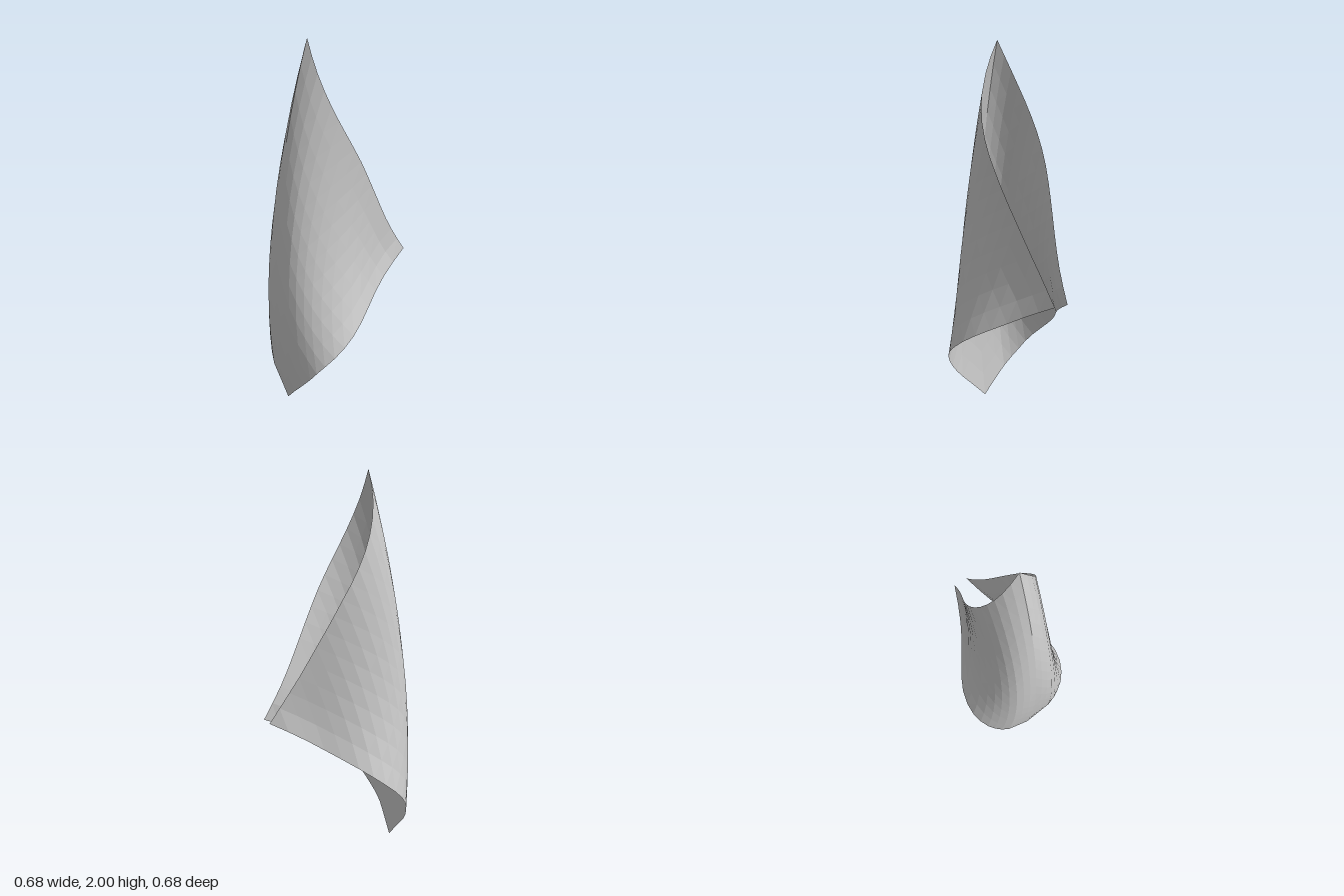
import * as THREE from 'three';

const N = 16;          // grid steps along each side of the sheet
const TIP_Y = 0.752;   // height of the two side corners
const TOP_Y = 2;

// Plan (x, z) of the edges, from the fold to the side tip in equal height steps
const edge = (pts) => new THREE.CatmullRomCurve3(pts.map(([x, z]) => new THREE.Vector3(x, 0, z)));
const lowerEdge = edge([[-0.19, 0.19], [-0.143, 0.245], [-0.092, 0.302], [-0.03, 0.332], [0.03, 0.34],
  [0.105, 0.313], [0.17, 0.245], [0.213, 0.135], [0.24, -0.01], [0.28, -0.145], [0.34, -0.285]]);
const upperEdge = edge([[-0.09, 0.09], [-0.04, 0.13], [0.015, 0.145], [0.073, 0.135], [0.127, 0.1],
  [0.171, 0.045], [0.203, -0.015], [0.231, -0.08], [0.259, -0.145], [0.294, -0.215], [0.34, -0.285]]);

// Point on one half of the sheet: k runs from fold to tip, t from lower to upper edge
function halfPoint(k, t) {
  const low = lowerEdge.getPoint(k).setY(TIP_Y * k);
  const high = upperEdge.getPoint(k).setY(THREE.MathUtils.lerp(TOP_Y, TIP_Y, k));
  const p = low.lerp(high, t);
  // the middle bulges towards the fold, while the flanks draw in to a waist
  const arch = 4 * t * (1 - t) * Math.SQRT1_2;
  const bulge = 0.115 * Math.cos(k * Math.PI / 2) ** 2 * arch;
  const waist = 0.115 * k * (1 - k) * arch;
  p.x -= bulge + waist;
  p.z += bulge - waist;
  return p;
}

// Square sheet standing on one corner, its side corners curled towards each other
function sheetGeometry() {
  const positions = [], index = [];
  for (let j = 0; j <= N; j++) {
    for (let i = 0; i <= N; i++) {
      const k = Math.abs(i - j) / N;
      const t = k < 1 ? Math.min(i, j) / N / (1 - k) : 0;
      const p = halfPoint(k, t);
      // the second half mirrors the first across the diagonal plane
      if (i >= j) positions.push(p.x, p.y, p.z);
      else positions.push(-p.z, p.y, -p.x);
    }
  }
  for (let j = 0; j < N; j++) {
    for (let i = 0; i < N; i++) {
      const a = j * (N + 1) + i, b = a + 1, d = a + N + 1, c = d + 1;
      index.push(a, b, c, a, c, d);
    }
  }
  const geometry = new THREE.BufferGeometry();
  geometry.setAttribute('position', new THREE.Float32BufferAttribute(positions, 3));
  geometry.setIndex(index);
  geometry.computeVertexNormals();
  return geometry;
}

export function createModel() {
  const group = new THREE.Group();
  group.name = 'curledSheet';
  const sheet = new THREE.Mesh(
    sheetGeometry(),
    new THREE.MeshStandardMaterial({ color: 0xcccccc, flatShading: true, side: THREE.DoubleSide })
  );
  sheet.name = 'sheet';
  group.add(sheet);
  return group;
}
